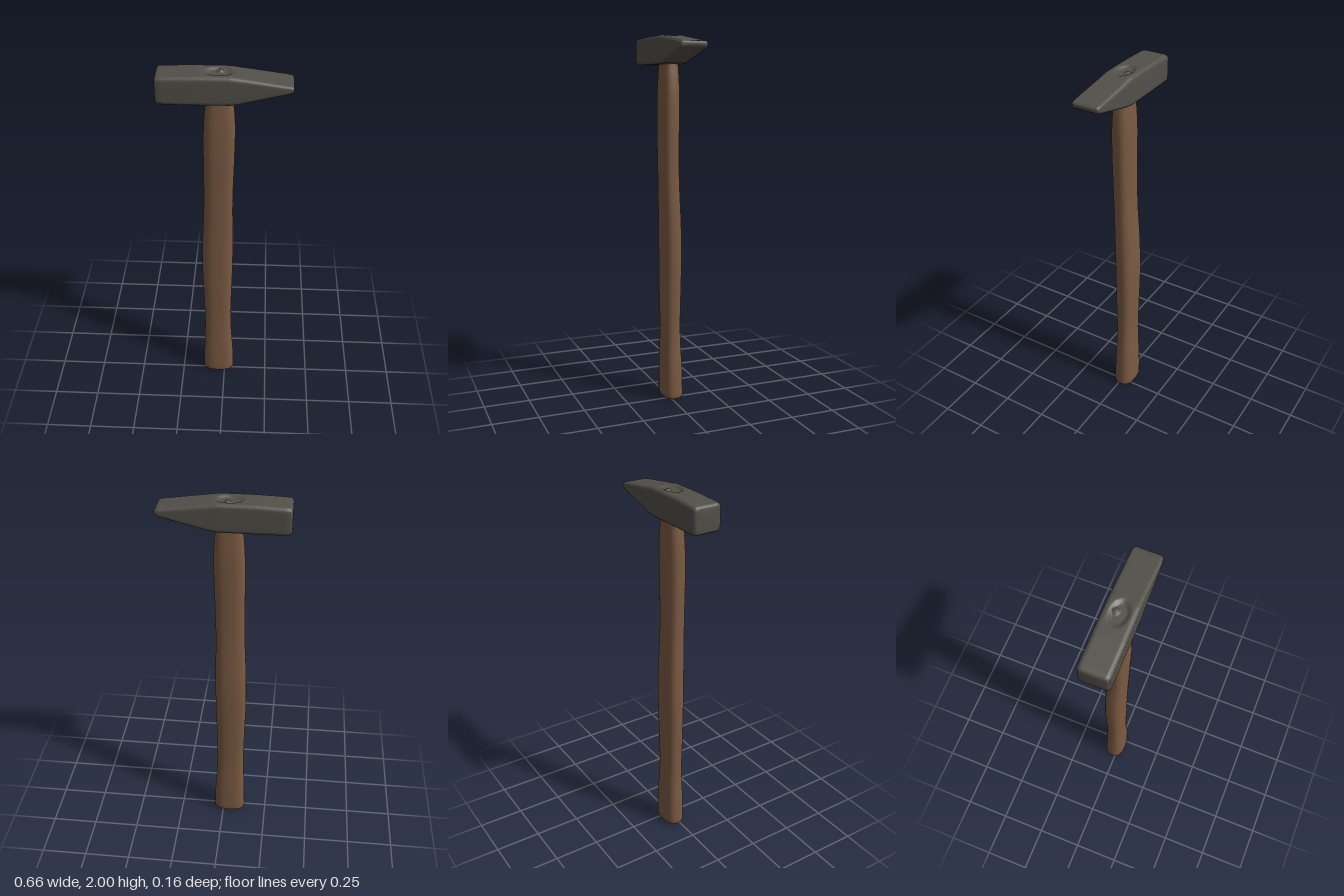
import * as THREE from 'three';

// Skins a list of rings (counter-clockwise about their axis) and closes both ends.
function loft(rings) {
  const n = rings[0].length, last = rings.length - 1;
  const pos = rings.flat().flatMap(p => [p.x, p.y, p.z]);
  const index = [];
  for (let j = 0; j < last; j++) {
    for (let i = 0; i < n; i++) {
      const k = (i + 1) % n;
      const a = j * n + i, b = j * n + k, c = a + n, d = b + n;
      index.push(a, b, d, a, d, c);
    }
  }
  for (const j of [0, last]) {
    const mid = new THREE.Vector3();
    rings[j].forEach(p => mid.addScaledVector(p, 1 / n));
    const m = pos.length / 3;
    pos.push(mid.x, mid.y, mid.z);
    for (let i = 0; i < n; i++) {
      const a = j * n + i, b = j * n + (i + 1) % n;
      if (j === 0) index.push(m, b, a);
      else index.push(m, a, b);
    }
  }
  const geo = new THREE.BufferGeometry();
  geo.setAttribute('position', new THREE.Float32BufferAttribute(pos, 3));
  geo.setIndex(index);
  geo.computeVertexNormals();
  return geo;
}

// Linear lookup in rows of [key, value, value, ...]
function sample(rows, t) {
  let i = 0;
  while (i < rows.length - 2 && rows[i + 1][0] < t) i++;
  const a = rows[i], b = rows[i + 1];
  const f = (t - a[0]) / (b[0] - a[0]);
  return a.map((v, k) => v + (b[k] - v) * f);
}

// Rounded rectangle in the yz plane with a finely divided top edge
function headRing([x, y0, y1, hz, r]) {
  const pts = [];
  const corners = [[y1 - r, hz - r, 0], [y0 + r, hz - r, 1], [y0 + r, -hz + r, 2], [y1 - r, -hz + r, 3]];
  corners.forEach(([cy, cz, q], c) => {
    for (let i = 0; i <= 5; i++) {
      const t = (q + i / 5) * Math.PI / 2;
      pts.push(new THREE.Vector3(x, cy + r * Math.cos(t), cz + r * Math.sin(t)));
    }
    const next = corners[(c + 1) % 4], steps = c === 3 ? 28 : 4;
    const from = pts[pts.length - 1];
    const t = (q + 1) * Math.PI / 2;
    const to = new THREE.Vector3(x, next[0] + r * Math.cos(t), next[1] + r * Math.sin(t));
    for (let i = 1; i < steps; i++) pts.push(from.clone().lerp(to, i / steps));
  });
  return pts;
}

function makeHead(material) {
  // x, bottom, top, half depth, corner radius
  const rows = [
    [-0.33, 1.868, 1.978, 0.062, 0.016],
    [-0.326, 1.859, 1.987, 0.072, 0.019],
    [-0.316, 1.853, 1.993, 0.078, 0.021],
    [-0.29, 1.851, 1.995, 0.079, 0.022],
    [-0.15, 1.85, 2.0, 0.079, 0.022],
    [0.03, 1.851, 2.0, 0.078, 0.021],
    [0.07, 1.857, 1.994, 0.077, 0.02],
    [0.305, 1.919, 1.96, 0.076, 0.014],
    [0.322, 1.925, 1.957, 0.073, 0.013],
    [0.33, 1.933, 1.95, 0.066, 0.007],
  ];
  const xs = rows.map(r => r[0]);
  for (let x = -0.14; x < 0.1; x += 0.006) xs.push(x);
  xs.sort((a, b) => a - b);
  const rings = xs.map(x => headRing(sample(rows, x)));
  // Shallow oval eye with a small knob pressed into the top
  for (const p of rings.flat()) {
    if (p.y < 1.98) continue;
    const d = Math.hypot((p.x + 0.025) / 0.08, p.z / 0.052);
    p.y -= 0.012 * (1 - THREE.MathUtils.smoothstep(d, 0.55, 1));
    const k = Math.hypot(p.x + 0.018, p.z + 0.02);
    p.y += 0.011 * (1 - THREE.MathUtils.smoothstep(k, 0.007, 0.021));
  }
  const mesh = new THREE.Mesh(loft(rings), material);
  mesh.name = 'hammerHead';
  return mesh;
}

function makeHandle(material) {
  // y, left and right x, back and front z
  const rows = [
    [0.02, -0.125, 0.054, -0.074, 0.040],
    [0.15, -0.122, 0.050, -0.073, 0.040],
    [0.38, -0.115, 0.037, -0.064, 0.033],
    [0.60, -0.119, 0.040, -0.067, 0.036],
    [0.80, -0.124, 0.045, -0.070, 0.037],
    [1.00, -0.120, 0.046, -0.066, 0.040],
    [1.25, -0.109, 0.044, -0.054, 0.046],
    [1.55, -0.107, 0.052, -0.051, 0.052],
    [1.70, -0.104, 0.054, -0.051, 0.051],
    [1.78, -0.098, 0.050, -0.048, 0.048],
    [1.84, -0.092, 0.044, -0.045, 0.045],
    [1.90, -0.088, 0.040, -0.042, 0.042],
  ];
  const curves = [1, 3].map(k => new THREE.CatmullRomCurve3(
    rows.map(r => new THREE.Vector3(r[k], r[0], r[k + 1]))));
  const ring = (t, inset, y) => {
    const a = curves[0].getPoint(t), b = curves[1].getPoint(t);
    const pts = [];
    for (let i = 0; i < 40; i++) {
      const u = i / 40 * Math.PI * 2;
      const soft = v => Math.sign(v) * Math.abs(v) ** 0.76;
      pts.push(new THREE.Vector3(
        (a.x + a.z) / 2 + ((a.z - a.x) / 2 - inset) * soft(Math.cos(u)),
        y ?? a.y,
        (b.x + b.z) / 2 - ((b.z - b.x) / 2 - inset) * soft(Math.sin(u))));
    }
    return pts;
  };
  // Rounded butt, then the shaft
  const rings = [ring(0, 0.022, 0), ring(0, 0.011, 0.003), ring(0, 0.004, 0.01)];
  for (let i = 0; i <= 55; i++) rings.push(ring(i / 55, 0));
  const mesh = new THREE.Mesh(loft(rings), material);
  mesh.name = 'handle';
  return mesh;
}

export function createModel() {
  const steel = new THREE.MeshStandardMaterial({ color: 0x534f49 });
  steel.name = 'dark steel';
  const wood = new THREE.MeshStandardMaterial({ color: 0x7a5a42 });
  wood.name = 'brown wood';

  const hammer = new THREE.Group();
  hammer.name = 'hammer';
  hammer.add(makeHead(steel), makeHandle(wood));
  return hammer;
}
